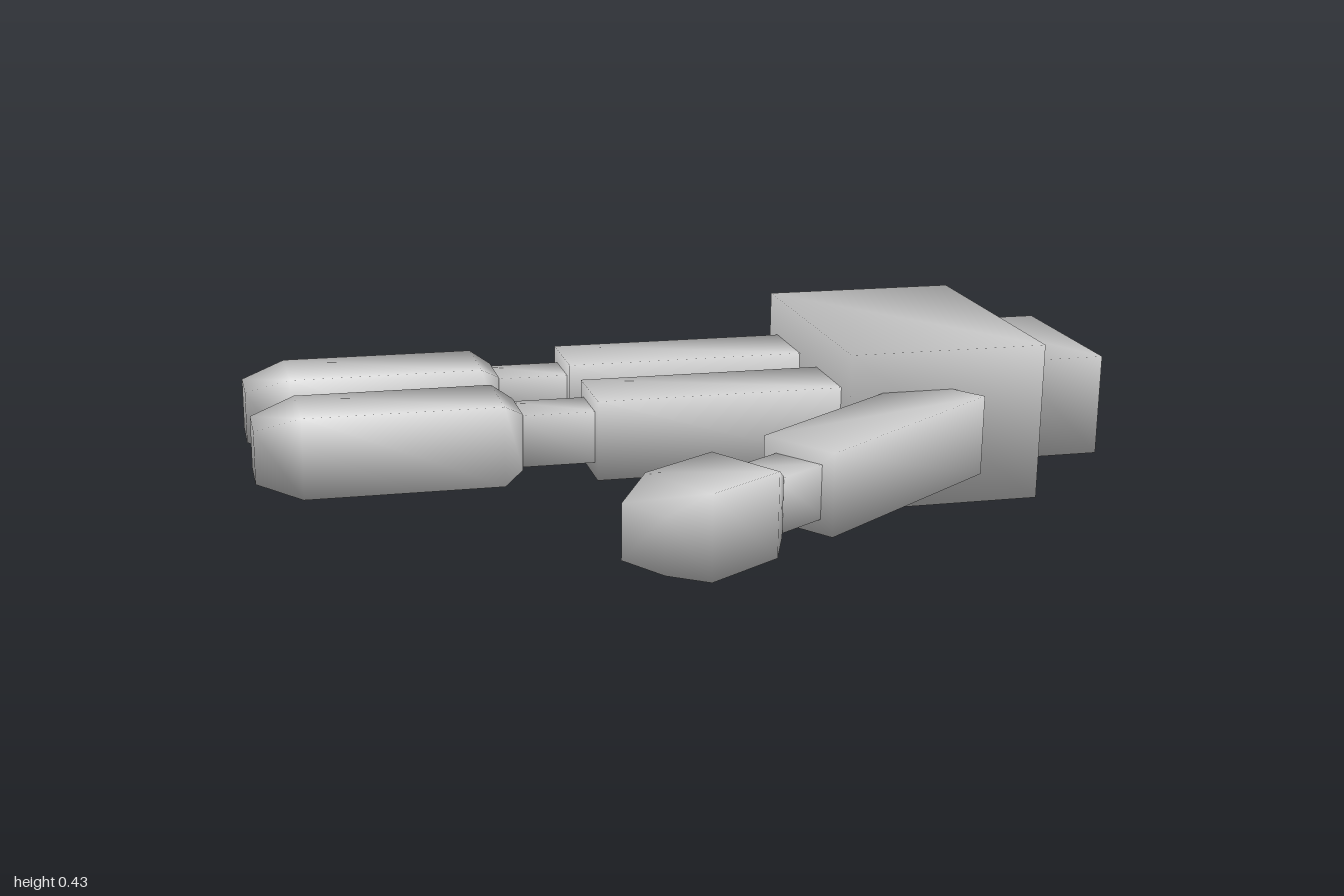
import * as THREE from 'three';

const material = new THREE.MeshStandardMaterial({ color: 0xcccccc });

// Closed four-sided solid running along -x; sections are [x, height, width].
// Corners are shared, so the shading is smooth.
function loft(name, sections) {
  const pos = [], idx = [];
  for (const [x, h, w] of sections) {
    for (const [sy, sz] of [[-1, -1], [-1, 1], [1, 1], [1, -1]]) {
      pos.push(x, sy * h / 2, sz * w / 2);
    }
  }
  const last = (sections.length - 1) * 4;
  for (let r = 0; r < last; r += 4) {
    for (let j = 0; j < 4; j++) {
      const a = r + j, b = r + (j + 1) % 4;
      idx.push(a, b, b + 4, a, b + 4, a + 4);
    }
  }
  idx.push(0, 2, 1, 0, 3, 2);
  idx.push(last, last + 1, last + 2, last, last + 2, last + 3);
  const geometry = new THREE.BufferGeometry();
  geometry.setAttribute('position', new THREE.Float32BufferAttribute(pos, 3));
  geometry.setIndex(idx);
  geometry.computeVertexNormals();
  const mesh = new THREE.Mesh(geometry, material);
  mesh.name = name;
  return mesh;
}

// One digit: long base segment, thin knuckle, tapered tip segment
function digit(name, baseLength, knuckle, tipLength, bend = 0) {
  const group = new THREE.Group();
  group.name = name;
  const size = 0.185, narrow = 0.12;
  group.add(loft(name + 'Base', [[0, size, size], [-baseLength, size, size]]));

  const end = new THREE.Group();
  end.name = name + 'End';
  end.position.x = -baseLength;
  end.rotation.y = bend;
  end.add(loft(name + 'Knuckle', [[0.02, narrow, narrow], [-knuckle - 0.02, narrow, narrow]]));
  end.add(loft(name + 'Tip', [
    [-knuckle, 0.13, 0.13],
    [-knuckle - 0.045, size, size],
    [-knuckle - tipLength + 0.1, size, size],
    [-knuckle - tipLength, narrow, narrow],
  ]));
  group.add(end);
  return group;
}

export function createModel() {
  const hand = new THREE.Group();
  hand.name = 'hand';

  // Palm and wrist
  hand.add(loft('palm', [[0.235, 0.37, 0.625], [-0.235, 0.37, 0.625]]));
  hand.add(loft('wrist', [[0.431, 0.24, 0.415], [0.2, 0.24, 0.415]]));

  // Two parallel fingers
  for (const side of [-1, 1]) {
    const finger = digit(side < 0 ? 'outerFinger' : 'innerFinger', 0.595, 0.165, 0.59);
    finger.position.set(-0.21, 0, side * 0.157);
    hand.add(finger);
  }

  // Thumb, splayed from the palm's side
  const thumb = digit('thumb', 0.578, 0.125, 0.342, -0.06);
  thumb.position.set(0.008, 0, 0.308);
  thumb.rotation.y = 0.624;
  hand.add(thumb);

  // Pose of the whole hand
  hand.rotation.set(0.087, 0.43, 0.01, 'YXZ');
  hand.position.set(0.508, 0.215, -0.42);

  const model = new THREE.Group();
  model.name = 'roboticHand';
  model.add(hand);
  return model;
}
